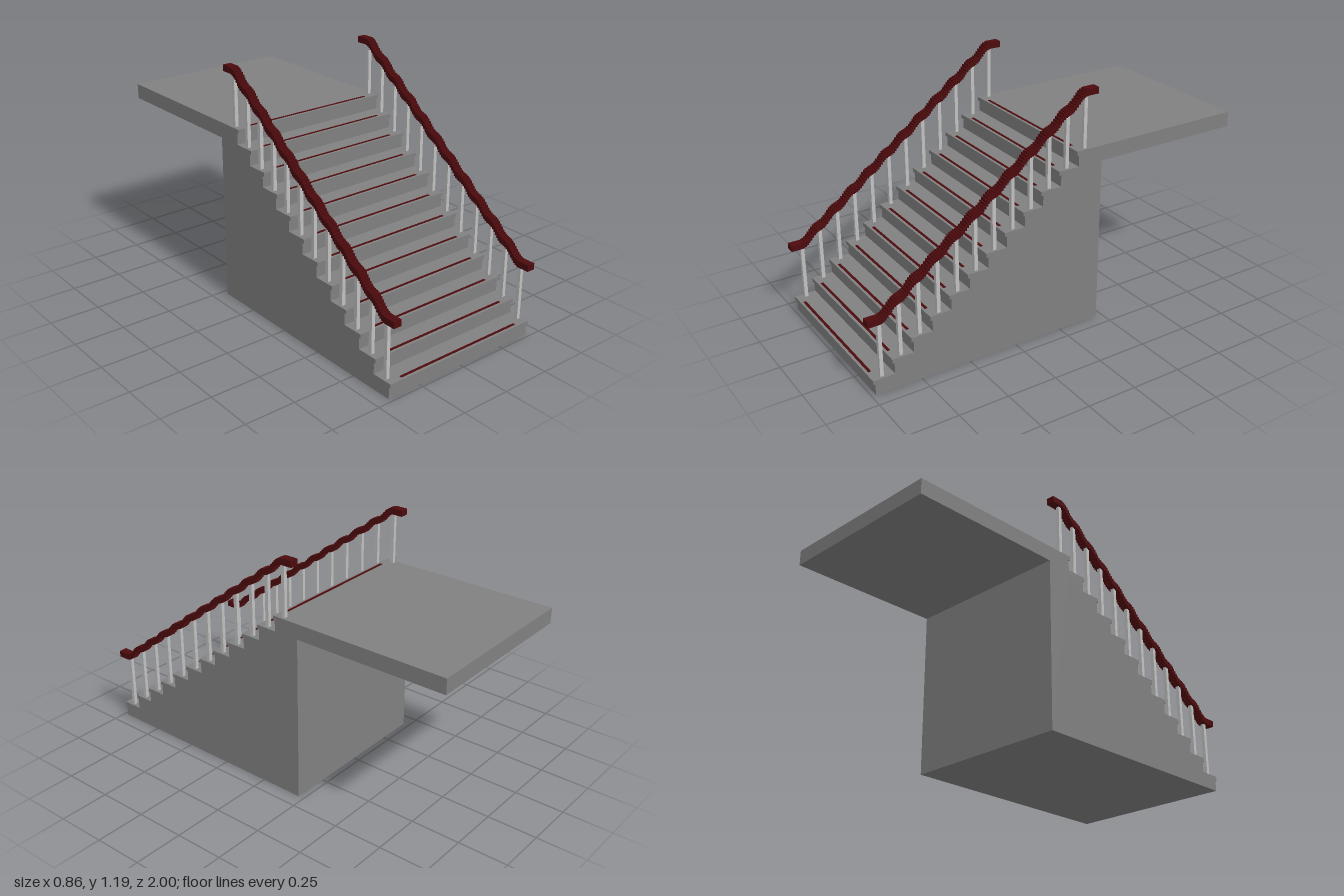
import * as THREE from 'three';

const STEPS = 12, RISE = 0.0755, RUN = 0.0973;
const NOSE = 0.99, LIP = 0.01, SLAB = 0.02;   // first nosing, its overhang and tread thickness
const HALF = 0.428, BACK = -0.22, END = -1;
const RAIL_X = 0.407, RAIL_W = 0.042;

const mat = (name, color) => Object.assign(new THREE.MeshStandardMaterial({ color }), { name });

export function createModel() {
  const stone = mat('stone grey', 0x808080);
  const metal = mat('light grey', 0xc0c0c0);
  const wood = mat('dark red', 0x4c0a0c);
  const model = new THREE.Group();
  model.name = 'staircase';

  const add = (name, geometry, material, parent = model) => {
    const mesh = new THREE.Mesh(geometry, material);
    mesh.name = name;
    parent.add(mesh);
    return mesh;
  };
  // Box given by its limits
  const block = (name, x0, x1, y0, y1, z0, z1, material, parent) => {
    const g = new THREE.BoxGeometry(x1 - x0, y1 - y0, z1 - z0);
    g.translate((x0 + x1) / 2, (y0 + y1) / 2, (z0 + z1) / 2);
    return add(name, g, material, parent);
  };
  // Side profile of [z, y] points extruded across x
  const sideExtrude = (points, width) => {
    const shape = new THREE.Shape(points.map(([z, y]) => new THREE.Vector2(z, y)));
    const g = new THREE.ExtrudeGeometry(shape, { depth: width, bevelEnabled: false });
    return g.translate(0, 0, -width / 2).rotateY(-Math.PI / 2);
  };
  const nose = i => NOSE - i * RUN;
  const riser = i => nose(i) - LIP;
  const top = i => (i + 1) * RISE;

  // Solid body under the treads
  const landingBottom = 0.83;
  const profile = [[BACK, 0], [riser(0), 0]];
  for (let i = 0; i < STEPS - 1; i++) {
    profile.push([riser(i), top(i) - SLAB], [riser(i + 1), top(i) - SLAB]);
  }
  profile.push([riser(STEPS - 1), landingBottom], [BACK, landingBottom]);
  add('body', sideExtrude(profile, HALF * 2), stone);

  // Landing slab
  const last = STEPS - 1;
  block('landing', -HALF, HALF, landingBottom, top(last), END, riser(last), stone);

  // Treads with nosings and thin grip strips
  for (let i = 0; i < STEPS; i++) {
    const y = top(i), z = nose(i);
    block('tread', -HALF, HALF, y - SLAB, y, i < last ? riser(i + 1) : riser(i), z, stone);
    block('gripStrip', -0.355, 0.355, y - 0.002, y + 0.0008, z - 0.027, z - 0.013, wood);
  }

  // Handrail centre height: gentle at each baluster, steeper between them
  const post = i => nose(i) - 0.05;
  const RAIL_Y = 0.361, RAIL_RISE = 0.0743, T = 0.0155;
  const railY = z => {
    const t = (post(0) - z) / RUN;
    if (t <= 0) return RAIL_Y;
    if (t >= last) return RAIL_Y + last * RAIL_RISE;
    return RAIL_Y + RAIL_RISE * (t - 0.55 * Math.sin(t * Math.PI * 2) / (Math.PI * 2));
  };

  // Finely notched handrail profile
  const upper = [], lower = [];
  const N = 108, z0 = post(0), z1 = post(last), dz = (z0 - z1) / N;
  for (let k = -1; k <= N; k++) {
    const a = k < 0 ? 1 : z0 - k * dz;
    const b = k < 0 ? z0 : k === N ? -0.19 : a - dz;
    const y = railY(k < 0 ? 1 : k === N ? -0.19 : (a + b) / 2);
    upper.push([a, y + T], [b, y + T]);
    lower.push([a, y - T], [b, y - T]);
  }
  const railGeometry = sideExtrude([...lower.reverse(), ...upper], RAIL_W);

  // Railings on both sides
  for (const side of [-1, 1]) {
    const railing = new THREE.Group();
    railing.name = side > 0 ? 'leftRailing' : 'rightRailing';
    model.add(railing);
    add('handrail', railGeometry, wood, railing).position.x = side * RAIL_X;
    for (let i = 0; i < STEPS; i++) {
      const x = side * RAIL_X, z = post(i), r = 0.009;
      block('baluster', x - r, x + r, top(i), railY(z), z - r, z + r, metal, railing);
    }
  }
  return model;
}
